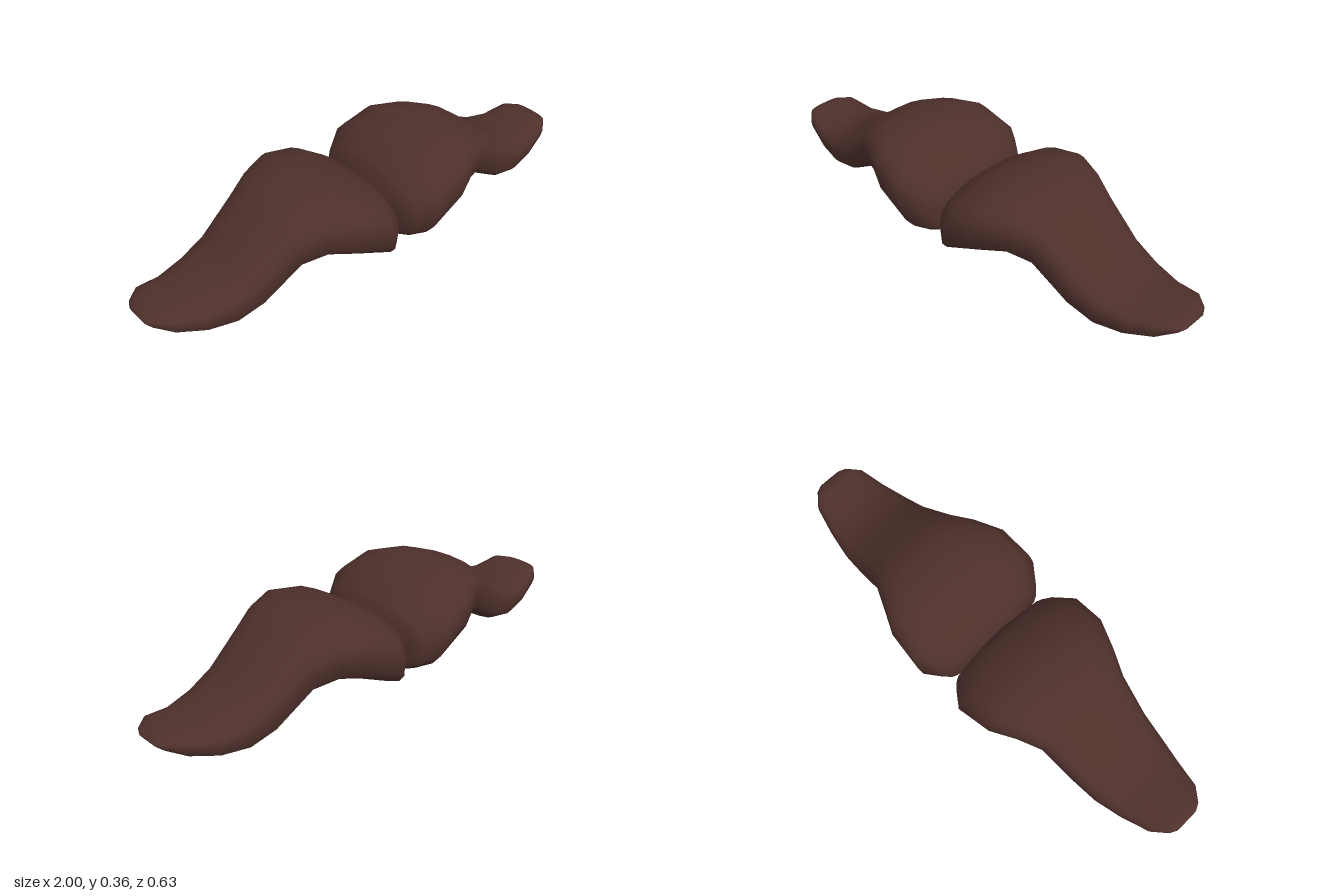
import * as THREE from 'three';

// Sections from centre to tip: upper x, upper y, lower x, lower y, half depth
const SECTIONS = [
  [0, 0.19, 0, 0.03, 0.12],
  [0.02, 0.235, 0.015, 0.022, 0.235],
  [0.05, 0.28, 0.045, 0.008, 0.265],
  [0.15, 0.34, 0.08, 0.02, 0.315],
  [0.27, 0.365, 0.25, 0.11, 0.303],
  [0.39, 0.35, 0.34, 0.138, 0.252],
  [0.49, 0.31, 0.43, 0.12, 0.207],
  [0.63, 0.2, 0.59, 0.025, 0.187],
  [0.73, 0.15, 0.7, 0.003, 0.176],
  [0.84, 0.13, 0.81, 0.018, 0.153],
  [0.94, 0.149, 0.92, 0.06, 0.125],
  [0.985, 0.133, 0.985, 0.1, 0.08],
  [1, 0.118, 1, 0.112, 0.05],
];
const SIDES = 20;

// Signed power, for rounded-rectangle sections
const spow = (v, p) => Math.sign(v) * Math.pow(Math.abs(v), p);

// One half, lofted through the sections; side is +1 (left) or -1 (right)
function halfGeometry(side) {
  const positions = [];
  const indices = [];
  const tri = (a, b, c) => (side > 0 ? indices.push(a, b, c) : indices.push(a, c, b));

  for (const [ux, uy, lx, ly, depth] of SECTIONS) {
    const lowerPower = THREE.MathUtils.lerp(2.7, 4, Math.min(lx / 0.7, 1));
    for (let j = 0; j < SIDES; j++) {
      const a = (j / SIDES) * Math.PI * 2;
      // The underside is flatter than the top
      const p = 2 / (Math.sin(a) < 0 ? lowerPower : 2.5);
      const t = (spow(Math.sin(a), p) + 1) / 2;
      positions.push(side * (lx + (ux - lx) * t), ly + (uy - ly) * t, depth * spow(Math.cos(a), p));
    }
  }
  const last = SECTIONS.length - 1;
  for (let i = 0; i < last; i++) {
    for (let j = 0; j < SIDES; j++) {
      const k = (j + 1) % SIDES;
      const a = i * SIDES + j, b = i * SIDES + k;
      tri(a, a + SIDES, b);
      tri(b, a + SIDES, b + SIDES);
    }
  }
  // End caps
  for (let j = 1; j < SIDES - 1; j++) {
    tri(0, j, j + 1);
    const o = last * SIDES;
    tri(o, o + j + 1, o + j);
  }
  const geometry = new THREE.BufferGeometry();
  geometry.setAttribute('position', new THREE.Float32BufferAttribute(positions, 3));
  geometry.setIndex(indices);
  geometry.computeVertexNormals();
  return geometry;
}

export function createModel() {
  const group = new THREE.Group();
  group.name = 'moustache';
  const hair = new THREE.MeshStandardMaterial({ color: 0x4e302b });
  for (const [name, side] of [['leftHalf', 1], ['rightHalf', -1]]) {
    const mesh = new THREE.Mesh(halfGeometry(side), hair);
    mesh.name = name;
    group.add(mesh);
  }
  return group;
}
